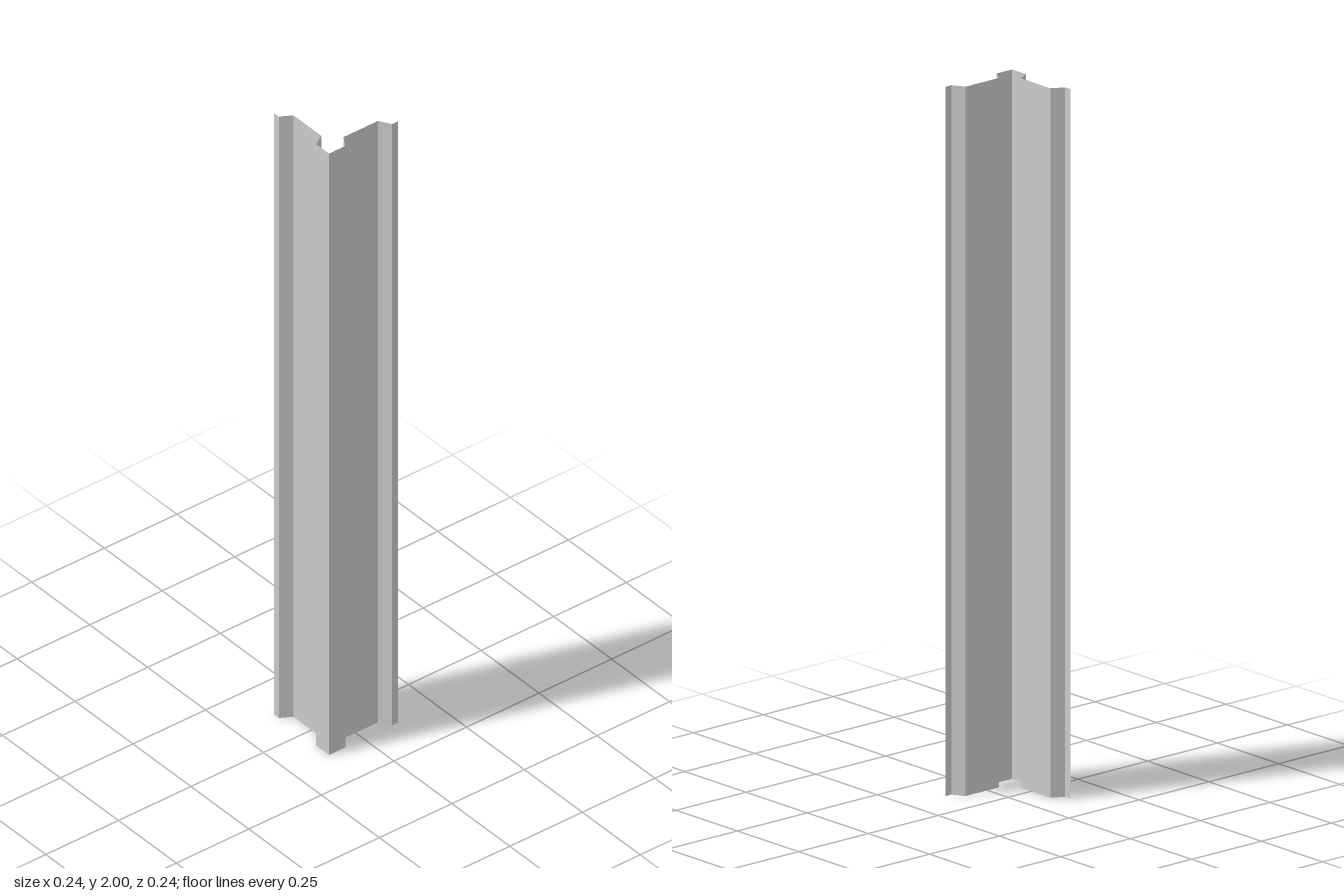
import * as THREE from 'three';

const HEIGHT = 2;
const OUTER = 0.119; // plane of the corner face and the edge lip
const INNER = 0.084; // plane of the recessed web

// Folded sheet section of one wing as [x, z], from the corner to the free edge
const wingSection = [
  [-OUTER, OUTER],
  [-0.063, OUTER],
  [-0.042, INNER],
  [0.078, INNER],
  [0.098, OUTER],
  [OUTER, OUTER],
];

// Sweeps an open section upwards into flat vertical panels
function foldedSheet(section) {
  const positions = [];
  for (let i = 0; i < section.length - 1; i++) {
    const [x0, z0] = section[i];
    const [x1, z1] = section[i + 1];
    positions.push(
      x0, 0, z0, x1, 0, z1, x1, HEIGHT, z1,
      x0, 0, z0, x1, HEIGHT, z1, x0, HEIGHT, z0,
    );
  }
  const geometry = new THREE.BufferGeometry();
  geometry.setAttribute('position', new THREE.Float32BufferAttribute(positions, 3));
  geometry.computeVertexNormals();
  return geometry;
}

export function createModel() {
  const group = new THREE.Group();
  group.name = 'cornerProfile';
  const material = new THREE.MeshStandardMaterial({
    color: 0xcccccc, flatShading: true, side: THREE.DoubleSide,
  });

  // Wing along x, facing the front
  const frontWing = new THREE.Mesh(foldedSheet(wingSection), material);
  frontWing.name = 'frontWing';

  // Wing along z, mirrored across the corner diagonal; reversed to keep faces outward
  const mirrored = wingSection.map(([x, z]) => [-z, -x]).reverse();
  const sideWing = new THREE.Mesh(foldedSheet(mirrored), material);
  sideWing.name = 'sideWing';

  group.add(frontWing, sideWing);
  return group;
}
